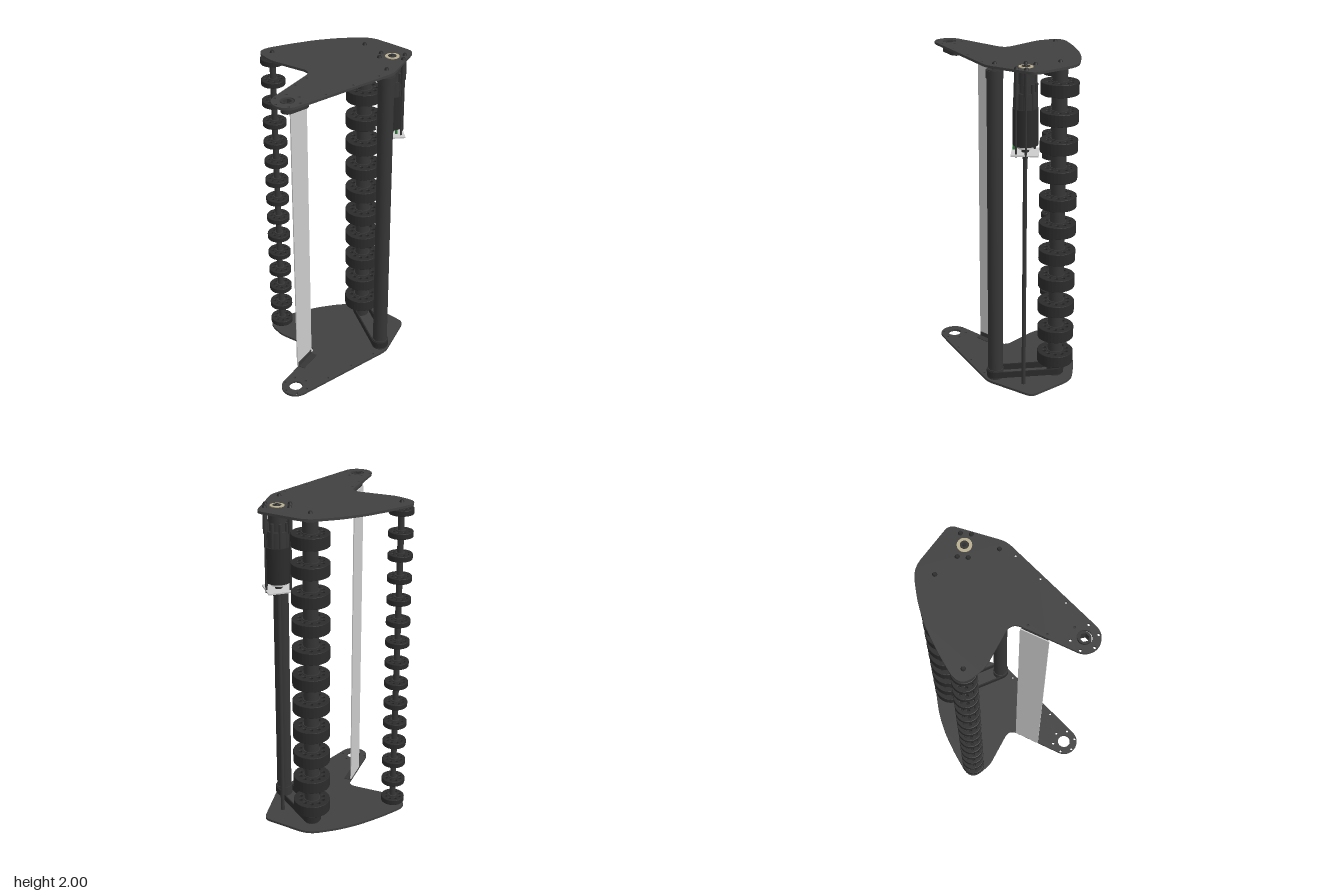
import * as THREE from 'three';

const mat = (color, opts = {}) => new THREE.MeshStandardMaterial({ color, ...opts });
const PLATE = mat(0x404040), DARK = mat(0x363636), BLACK = mat(0x2b2b2b);
const GREY = mat(0xcccccc), CREAM = mat(0xb8ae90), GREEN = mat(0x2f7a3a);

// Axes of the upright parts as [x, z]
const BIG = [0.177, -0.327], SMALL = [-0.363, -0.283], TUBE = [0.25, 0.032];
const MOTOR = [0.31, -0.143], EAR = [-0.325, 0.352];
const STANDOFFS = [[0.253, -0.193], [0.235, -0.138], [0.383, -0.15], [0.365, -0.095]];

function add(parent, name, geo, material, x = 0, y = 0, z = 0) {
  const m = new THREE.Mesh(geo, material);
  m.name = name;
  m.position.set(x, y, z);
  parent.add(m);
  return m;
}

// Upright cylinder between two heights
function rod(parent, name, [x, z], r, y0, y1, material = DARK, sides = 32, rTop = r) {
  return add(parent, name, new THREE.CylinderGeometry(rTop, r, y1 - y0, sides), material, x, (y0 + y1) / 2, z);
}

// Shapes are drawn with y = -z, then laid flat so that depth runs upward
function slab(shape, h, bevel = 0) {
  const g = new THREE.ExtrudeGeometry(shape, {
    depth: h - 2 * bevel, bevelEnabled: bevel > 0, bevelSize: bevel, bevelThickness: bevel,
    bevelOffset: -bevel, bevelSegments: 2, curveSegments: 16,
  });
  g.translate(0, 0, bevel);
  return g.rotateX(-Math.PI / 2);
}

const hole = (x, z, r) => new THREE.Path().absarc(x, -z, r, 0, Math.PI * 2, true);

function hexHole(x, z, r) {
  const pts = [];
  for (let i = 0; i < 6; i++) {
    const a = -i * Math.PI / 3 + Math.PI / 6;
    pts.push(new THREE.Vector2(x + r * Math.cos(a), -z + r * Math.sin(a)));
  }
  return new THREE.Path(pts);
}

// Outline wrapped around two circles of equal radius
function loopPath(Type, [ax, az], [bx, bz], r) {
  const f = Math.atan2(az - bz, bx - ax), q = Math.PI / 2;
  const p = new Type();
  p.absarc(ax, -az, r, f + q, f + 3 * q, false);
  p.absarc(bx, -bz, r, f - q, f + q, false);
  p.closePath();
  return p;
}

function plateShape() {
  // Corners as x, z, rounding length
  const corners = [
    [-0.25, -0.392, 0.04], [-0.36, -0.357, 0.01], [-0.46, -0.32, 0.095], [-0.378, -0.172, 0.035],
    [-0.165, 0.005, 0.06],
  ];
  const after = [
    [0.285, 0.078, 0.04], [0.443, -0.2, 0.04], [0.232, -0.432, 0.07], [0.04, -0.443, 0.06],
    [-0.1, -0.428, 0.04],
  ];
  const s = new THREE.Shape();
  s.moveTo(-0.17, 0.413);
  const earStart = [EAR[0] - 0.069, EAR[1] - 0.053];
  const earEnd = [EAR[0] + 0.045, EAR[1] + 0.075];
  const walk = (list, from, to) => list.forEach(([x, z, r], i) => {
    const p = new THREE.Vector2(x, z);
    const toward = (q) => new THREE.Vector2(q[0], q[1]).sub(p).setLength(r).add(p);
    const a = toward(list[i - 1] || from), b = toward(list[i + 1] || to);
    s.lineTo(a.x, -a.y);
    s.quadraticCurveTo(x, -z, b.x, -b.y);
  });
  s.curves.length = 0;
  s.moveTo(earEnd[0], -earEnd[1]);
  walk([...after, ...corners], earEnd, earStart);
  s.lineTo(earStart[0], -earStart[1]);
  s.absarc(EAR[0], -EAR[1], 0.087, Math.atan2(0.053, -0.069), Math.atan2(-0.075, 0.045) + 2 * Math.PI, false);
  // Bearing seat, bolt circle and bracket holes
  s.holes.push(hole(...EAR, 0.041));
  for (let i = 0; i < 6; i++) {
    const a = i * Math.PI / 3 + Math.PI / 6;
    s.holes.push(hole(EAR[0] + 0.074 * Math.cos(a), EAR[1] + 0.074 * Math.sin(a), 0.008));
  }
  [[-0.2, 0.085], [-0.268, 0.17], [0.195, 0.107], [0.04, 0.205], [-0.118, 0.304]]
    .forEach(([x, z]) => s.holes.push(hole(x, z, 0.007)));
  return s;
}

function wheelGeometry(r, h, bore, ringR, holeR, count) {
  const s = new THREE.Shape().absarc(0, 0, r, 0, Math.PI * 2);
  s.holes.push(hole(0, 0, bore));
  for (let i = 0; i < count; i++) {
    const a = i * 2 * Math.PI / count;
    s.holes.push(hole(ringR * Math.cos(a), ringR * Math.sin(a), holeR));
  }
  return slab(s, h, 0.003);
}

// Row of evenly spaced wheels on one shaft
function roller(name, [x, z], geo, h, count, y0, step, hubR, hubH) {
  const g = new THREE.Group();
  g.name = name;
  for (let i = 0; i < count; i++) {
    const y = y0 + i * step;
    add(g, 'wheel', geo, BLACK, x, y - h / 2, z);
    rod(g, 'wheelHub', [x, z], hubR, y - hubH / 2, y + hubH / 2, DARK, 24);
  }
  return g;
}

export function createModel() {
  const model = new THREE.Group();
  model.name = 'rollerFrame';

  // End plates
  const plate = slab(plateShape(), 0.014);
  add(model, 'bottomPlate', plate, PLATE, 0, 0.016, 0);
  add(model, 'topPlate', plate, PLATE, 0, 1.974, 0);

  // Large roller
  const big = roller('largeRoller', BIG, wheelGeometry(0.109, 0.072, 0.04, 0.07, 0.011, 10), 0.072, 11, 0.165, 0.168, 0.05, 0.082);
  rod(big, 'rollerTube', BIG, 0.044, 0.04, 1.95);
  rod(big, 'rollerShaft', BIG, 0.02, 0.02, 1.98);
  model.add(big);

  // Small roller
  const small = roller('smallRoller', SMALL, wheelGeometry(0.071, 0.033, 0.018, 0.045, 0.008, 8), 0.033, 15, 0.075, 0.1332, 0.027, 0.045);
  rod(small, 'smallShaft', SMALL, 0.018, 0.02, 1.98);
  model.add(small);

  // Support tube with end collars
  rod(model, 'supportTube', TUBE, 0.045, 0.04, 1.96);
  [[0.04, 0.1], [1.91, 1.955]].forEach(([a, b]) => rod(model, 'tubeCollar', TUBE, 0.05, a, b));
  rod(model, 'tubeAxle', TUBE, 0.018, 0.02, 1.98);

  // Drive belt between tube and large roller
  const belt = loopPath(THREE.Shape, TUBE, BIG, 0.054);
  belt.holes.push(loopPath(THREE.Path, TUBE, BIG, 0.046));
  add(model, 'driveBelt', slab(belt, 0.038), BLACK, 0, 0.053, 0);
  rod(model, 'beltPulley', BIG, 0.048, 0.045, 0.1);

  // Guide panel and its angle brackets
  const guide = new THREE.Group();
  guide.name = 'guidePanel';
  guide.position.set(-0.25, 0, 0.11);
  guide.rotation.y = Math.atan2(0.13, 0.1);
  add(guide, 'panel', new THREE.BoxGeometry(0.165, 1.92, 0.006), GREY, 0, 1, 0);
  for (const side of [-1, 1]) {
    add(guide, 'bracketFoot', new THREE.BoxGeometry(0.15, 0.006, 0.045), DARK, 0, 1 + side * 0.97, 0.024);
    add(guide, 'bracketLeg', new THREE.BoxGeometry(0.15, 0.032, 0.006), DARK, 0, 1 + side * 0.957, 0.006);
  }
  model.add(guide);

  // Pivot link and hex bearing under the top ear
  const link = loopPath(THREE.Shape, EAR, [-0.245, 0.3], 0.037);
  link.holes.push(hexHole(...EAR, 0.025));
  add(model, 'pivotLink', slab(link, 0.04), DARK, 0, 1.925, 0);
  const bush = new THREE.Shape().absarc(EAR[0], -EAR[1], 0.035, 0, Math.PI * 2);
  bush.holes.push(hexHole(...EAR, 0.025));
  add(model, 'hexBearing', slab(bush, 0.024), DARK, 0, 1.963, 0);

  // Motor with gearbox, end plate and long drive shaft
  const motor = new THREE.Group();
  motor.name = 'motor';
  rod(motor, 'motorBody', MOTOR, 0.072, 1.55, 1.76, BLACK, 40);
  rod(motor, 'motorEnd', MOTOR, 0.045, 1.53, 1.55, GREY);
  rod(motor, 'gearbox', MOTOR, 0.062, 1.76, 1.85, DARK, 40);
  rod(motor, 'gearboxNeck', MOTOR, 0.05, 1.85, 1.975);
  for (let i = 0; i < 8; i++) {
    const a = i * Math.PI / 4;
    rod(motor, 'gearboxRib', [MOTOR[0] + 0.058 * Math.cos(a), MOTOR[1] + 0.058 * Math.sin(a)], 0.01, 1.76, 1.9, DARK, 8);
  }
  STANDOFFS.forEach((p) => {
    rod(motor, 'standoff', p, 0.006, 1.49, 1.98, DARK, 10);
    rod(motor, 'standoffSleeve', p, 0.012, 1.84, 1.975, DARK, 12);
  });
  add(motor, 'motorPlate', new THREE.BoxGeometry(0.155, 0.008, 0.155), GREY, MOTOR[0], 1.504, MOTOR[1]);
  add(motor, 'terminal', new THREE.BoxGeometry(0.014, 0.025, 0.014), GREEN, 0.335, 1.54, -0.08);
  rod(motor, 'shaftCoupling', MOTOR, 0.013, 1.46, 1.53, DARK, 16, 0.025);
  rod(motor, 'driveShaft', MOTOR, 0.012, 0.02, 1.5, DARK, 16);
  model.add(motor);

  // Bearing ring on the top plate
  const ring = new THREE.Shape().absarc(0, 0, 0.041, 0, Math.PI * 2);
  ring.holes.push(hole(0, 0, 0.024));
  add(model, 'bearingRing', slab(ring, 0.006), CREAM, MOTOR[0], 1.986, MOTOR[1]);
  rod(model, 'bearingCore', MOTOR, 0.024, 1.975, 1.994);

  // Screw heads on both plates
  [BIG, SMALL, TUBE].forEach((p) => {
    rod(model, 'bottomScrew', p, 0.009, 0, 0.017, BLACK, 16, 0.014);
    rod(model, 'topScrew', p, 0.014, 1.987, 2, BLACK, 16, 0.009);
  });
  [...STANDOFFS, MOTOR].forEach((p) => rod(model, 'topScrew', p, 0.014, 1.987, 2, BLACK, 16, 0.009));

  return model;
}
